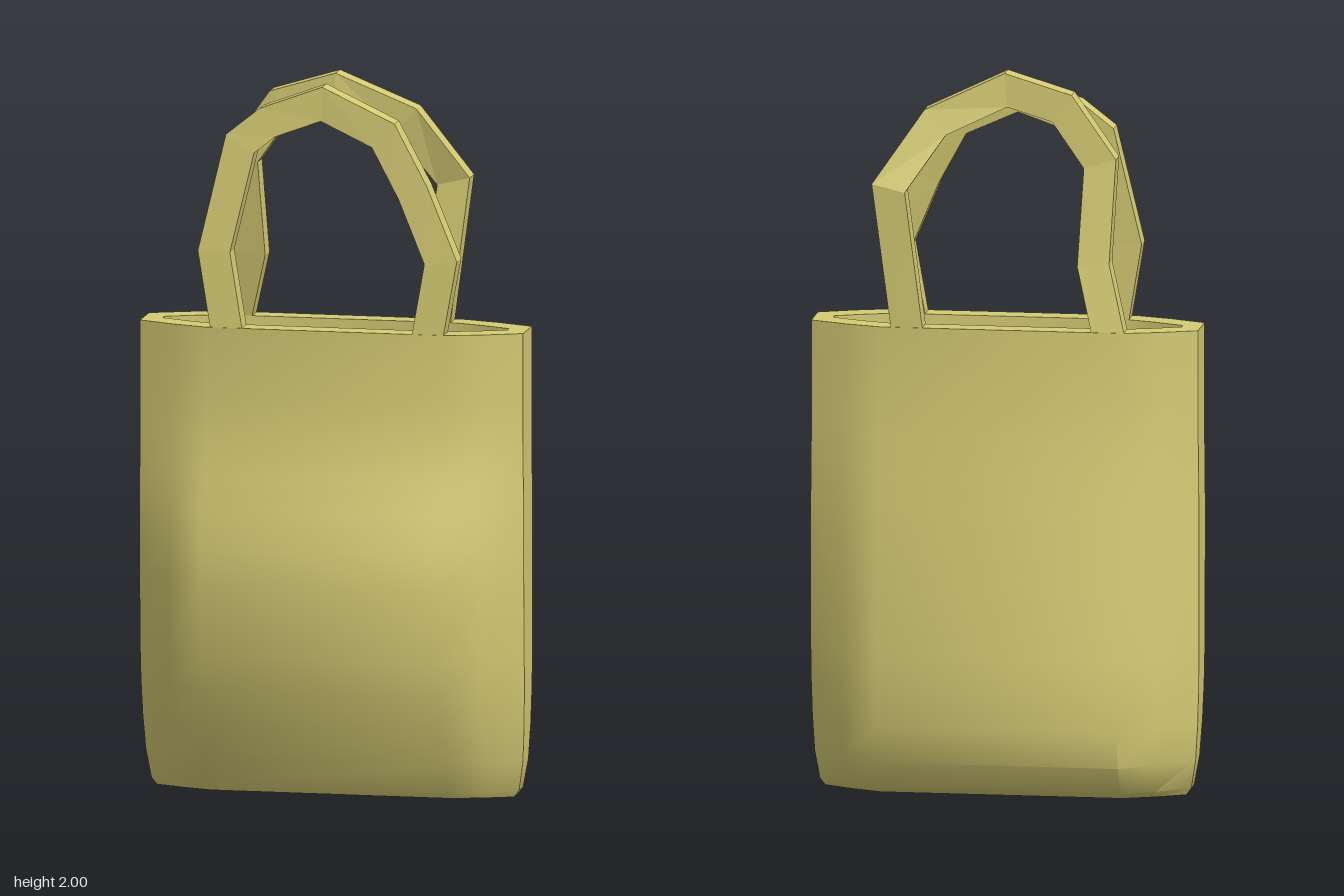
import * as THREE from 'three';
import { toCreasedNormals } from 'three/addons/utils/BufferGeometryUtils.js';

const material = (flatShading) => new THREE.MeshStandardMaterial({ color: 0xd6cc74, flatShading });

// One horizontal section: front/back corners at uc, soft mid columns, narrow flat ends at ue.
function ring(y, uc, ue, front, back, endFront, endBack) {
  const um = (uc + ue) / 2;
  const midFront = endFront + (front - endFront) * 0.58;
  const midBack = endBack + (back - endBack) * 0.58;
  return [
    [ue, endFront], [um, midFront], [uc, front], [-uc, front], [-um, midFront], [-ue, endFront],
    [-ue, -endBack], [-um, -midBack], [-uc, -back], [uc, -back], [um, -midBack], [ue, -endBack],
  ].map(([x, z]) => [x, y, z]);
}

// Skin stacked sections and close both ends.
function loft(rings) {
  const pos = [];
  const tri = (...pts) => pts.forEach((p) => pos.push(...p));
  const n = rings[0].length;
  for (let i = 0; i < rings.length - 1; i++) {
    for (let j = 0; j < n; j++) {
      const k = (j + 1) % n;
      const [a, b, c, d] = [rings[i][j], rings[i][k], rings[i + 1][k], rings[i + 1][j]];
      tri(a, d, b);
      tri(b, d, c);
    }
  }
  const first = rings[0], last = rings[rings.length - 1];
  for (let j = 1; j < n - 1; j++) {
    tri(first[0], first[j], first[j + 1]);
    tri(last[0], last[j + 1], last[j]);
  }
  const g = new THREE.BufferGeometry();
  g.setAttribute('position', new THREE.Float32BufferAttribute(pos, 3));
  return g;
}

// Rectangular strap swept along a path of [x, y, z], mitred at each bend, with level feet.
function strap(path, width, depth) {
  const p = path.map((q) => new THREE.Vector3(...q));
  const direction = (a, b) => new THREE.Vector2(b.x - a.x, b.y - a.y).normalize();
  const rings = p.map((c, i) => {
    const before = i > 0 ? direction(p[i - 1], c) : new THREE.Vector2(0, 1);
    const after = i < p.length - 1 ? direction(c, p[i + 1]) : new THREE.Vector2(0, -1);
    const t = before.clone().add(after).normalize();
    if (i === 0) t.set(0, 1);
    if (i === p.length - 1) t.set(0, -1);
    const half = width / 2 / Math.max(0.8, t.dot(after));
    const nx = -t.y * half, ny = t.x * half, h = depth / 2;
    return [[1, 1], [-1, 1], [-1, -1], [1, -1]].map(([s, f]) => [c.x + nx * s, c.y + ny * s, c.z + h * f]);
  });
  // Wound so that the faces point outwards.
  return loft(rings.map((r) => r.reverse()));
}

export function createModel() {
  const model = new THREE.Group();
  const bag = new THREE.Group();
  bag.name = 'toteBag';
  bag.rotation.y = 0.352;
  model.add(bag);

  // Outer wall, bottom to rim: y, end reach, front, back, end front, end back
  const wall = [
    [0.00, 0.500, 0.065, 0.120, 0.005, 0.040],
    [0.02, 0.515, 0.080, 0.160, 0.010, 0.045],
    [0.10, 0.528, 0.120, 0.214, 0.022, 0.054],
    [0.20, 0.534, 0.162, 0.226, 0.035, 0.056],
    [0.30, 0.537, 0.196, 0.230, 0.045, 0.058],
    [0.40, 0.538, 0.220, 0.224, 0.052, 0.060],
    [0.60, 0.538, 0.235, 0.200, 0.058, 0.060],
    [0.70, 0.538, 0.222, 0.188, 0.059, 0.060],
    [0.80, 0.538, 0.198, 0.175, 0.060, 0.060],
    [0.90, 0.537, 0.168, 0.161, 0.060, 0.060],
    [1.00, 0.536, 0.147, 0.149, 0.060, 0.060],
    [1.10, 0.536, 0.137, 0.139, 0.060, 0.060],
    [1.30, 0.536, 0.137, 0.132, 0.060, 0.060],
  ];
  const outer = wall.map(([y, ue, f, b, ef, eb]) => ring(y, 0.335, ue, f, b, ef, eb));
  // Lining, rim to floor, inset from the outer wall
  const inner = wall.slice(2).reverse().map(([y, ue, f, b]) =>
    ring(y, 0.32, ue - 0.053, f - 0.065, b - 0.062, 0.01, 0.01));
  const body = new THREE.Mesh(toCreasedNormals(loft([...outer, ...inner]), 0.75), material(false));
  body.name = 'bagBody';
  bag.add(body);

  // Carrying straps standing on the rim
  const straps = {
    frontHandle: [
      [-0.28, 1.3, 0.105], [-0.315, 1.51, 0.1], [-0.245, 1.81, 0.085], [-0.17, 1.87, 0.078],
      [-0.02, 1.925, 0.07], [0.155, 1.845, 0.08], [0.24, 1.69, 0.09], [0.32, 1.5, 0.1], [0.285, 1.3, 0.105],
    ],
    backHandle: [
      [-0.295, 1.3, -0.1], [-0.25, 1.48, -0.065], [-0.262, 1.755, -0.02], [-0.155, 1.905, -0.01],
      [0.0, 1.952, -0.01], [0.19, 1.865, -0.055], [0.31, 1.69, -0.12], [0.262, 1.3, -0.1],
    ],
  };
  for (const [name, path] of Object.entries(straps)) {
    const mesh = new THREE.Mesh(strap(path, 0.088, 0.06), material(true));
    mesh.name = name;
    bag.add(mesh);
  }
  return model;
}
